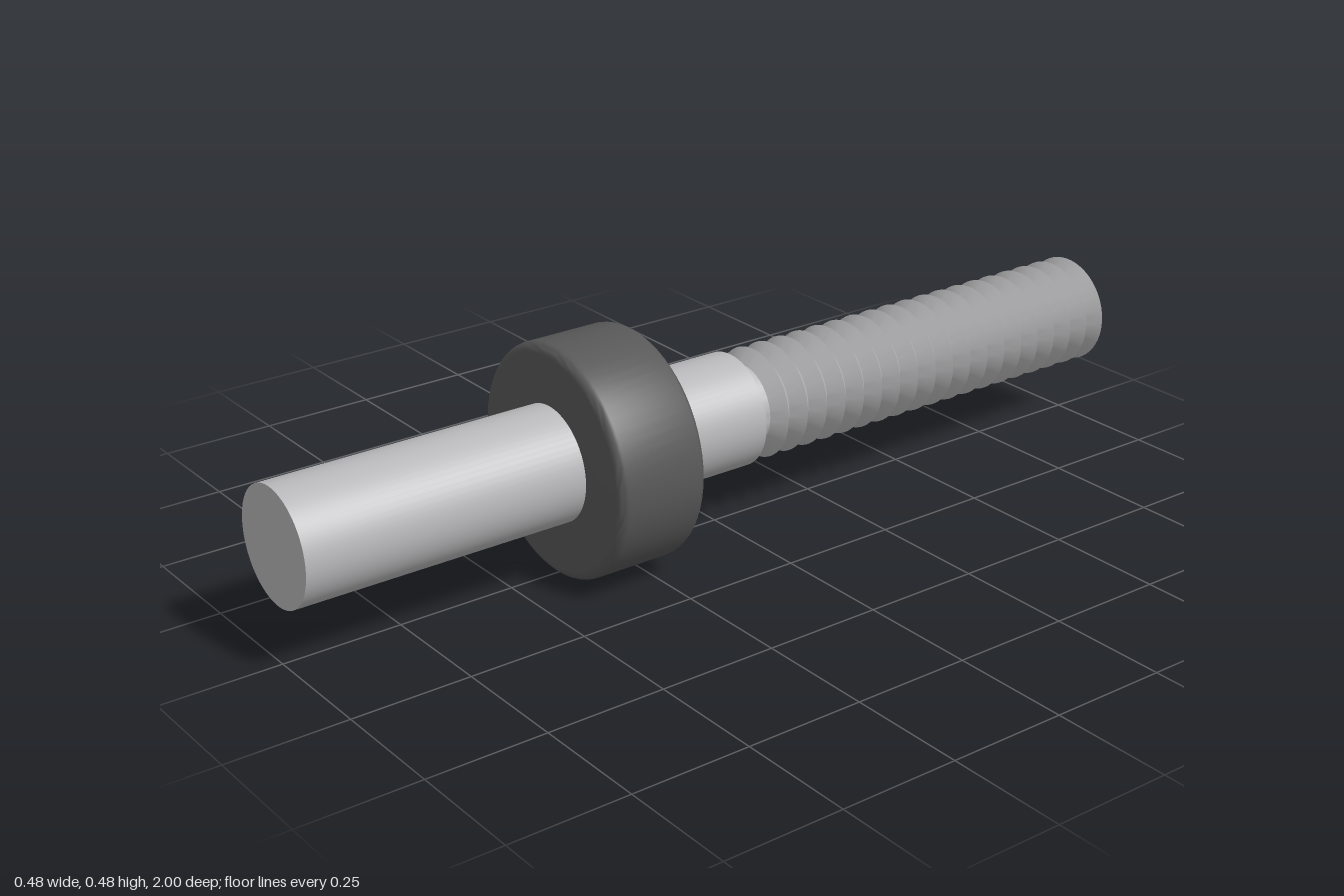
import * as THREE from 'three';
import { toCreasedNormals } from 'three/addons/utils/BufferGeometryUtils.js';

const AXIS_HEIGHT = 0.24;

// Revolve [radius, z] points around the z axis.
function turned(name, points, material, crease) {
  const profile = points.map(([r, z]) => new THREE.Vector2(r, z));
  const geometry = new THREE.LatheGeometry(profile, 64).rotateX(Math.PI / 2);
  const mesh = new THREE.Mesh(toCreasedNormals(geometry, crease), material);
  mesh.name = name;
  return mesh;
}

export function createModel() {
  const steel = new THREE.MeshStandardMaterial({ color: 0xb8b8ba });
  steel.name = 'steel grey';
  const rubber = new THREE.MeshStandardMaterial({ color: 0x585859 });
  rubber.name = 'dark rubber';

  const model = new THREE.Group();
  model.name = 'threadedPin';
  const body = new THREE.Group();
  body.name = 'body';
  body.position.y = AXIS_HEIGHT;
  model.add(body);

  // Smooth shank
  body.add(turned('shank', [[0, -0.04], [0.12, -0.04], [0.12, 1], [0, 1]], steel, 0.6));

  // Thread ridges, ending on a crest at the rear face
  const pitch = 0.05, crest = 0.117, root = 0.088;
  const thread = [[0, -1], [crest, -1]];
  for (let i = 0; i < 19; i++) {
    const z = -1 + i * pitch;
    thread.push([root, z + pitch / 2]);
    if (i < 18) thread.push([crest, z + pitch]);
  }
  thread.push([root, -0.04]);
  body.add(turned('thread', thread, steel, 0.6));

  // Collar with rounded rims
  const R = 0.24, bevel = 0.02, back = 0.2, front = 0.4;
  const collar = [[0.11, back]];
  for (const [zc, start] of [[back + bevel, -Math.PI / 2], [front - bevel, 0]]) {
    for (let i = 0; i <= 5; i++) {
      const a = start + (i / 5) * Math.PI / 2;
      collar.push([R - bevel + bevel * Math.cos(a), zc + bevel * Math.sin(a)]);
    }
  }
  collar.push([0.11, front]);
  body.add(turned('collar', collar, rubber, 0.7));

  return model;
}
